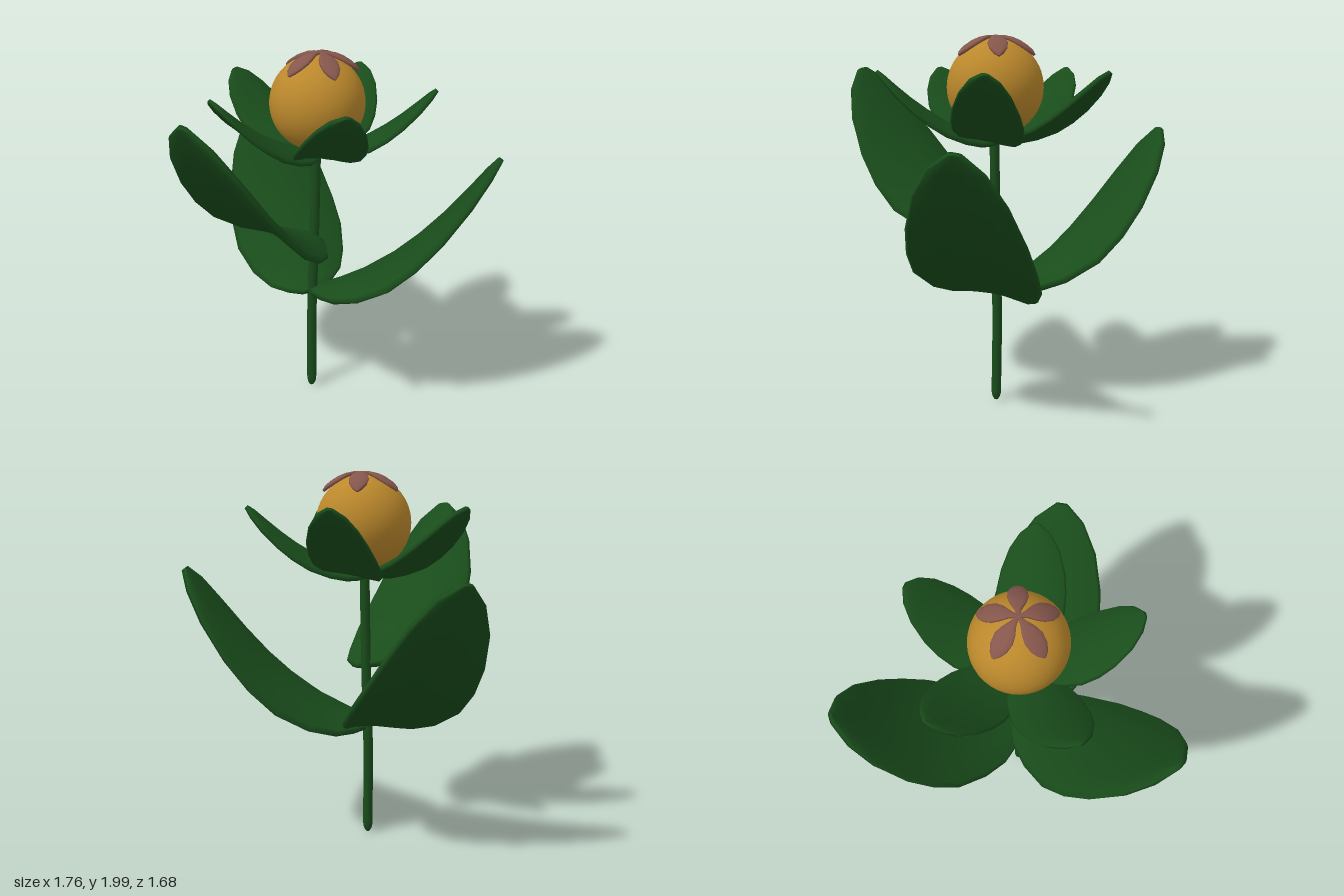
import * as THREE from 'three';

const rad = THREE.MathUtils.degToRad;
const green = new THREE.MeshStandardMaterial({ color: 0x194c1b });
const gold = new THREE.MeshStandardMaterial({ color: 0xbb882c });
const brown = new THREE.MeshStandardMaterial({ color: 0x85564c });

// Outlines: [fraction of length, fraction of the largest half width]
const LEAF = [
  [0, 0], [0, 0.2], [0.06, 0.42], [0.15, 0.66], [0.29, 0.86], [0.46, 1],
  [0.6, 0.99], [0.73, 0.9], [0.86, 0.7], [0.95, 0.42], [1, 0.1], [1, 0],
];
const PETAL = [
  [0, 0], [0, 0.1], [0.2, 0.35], [0.4, 0.78], [0.58, 1],
  [0.78, 0.9], [0.92, 0.55], [1, 0.12], [1, 0],
];
// Flattened section with a rounded rim: [across, thickness]
const SECTION = [
  [1, 0], [0.94, 0.8], [0.5, 1], [0, 1], [-0.5, 1], [-0.94, 0.8],
  [-1, 0], [-0.94, -0.8], [-0.5, -1], [0, -1], [0.5, -1], [0.94, -0.8],
];

// Thick blade running outward at a heading; rise(r, w) gives its height
function blade(name, material, outline, { base, heading, length, halfWidth, thick, bulge = 0, rise }) {
  const c = Math.cos(rad(heading)), s = Math.sin(rad(heading));
  const pos = [], index = [], n = SECTION.length;
  outline.forEach(([f, wf], i) => {
    const r0 = f * length;
    const t = wf === 0 ? 0 : thick * Math.min(1, 0.5 + wf);
    const shift = bulge * Math.sin(Math.PI * f);
    SECTION.forEach(([across, up], k) => {
      const w = across * wf * halfWidth + shift;
      const slope = (rise(r0 + 0.001, w) - rise(r0 - 0.001, w)) / 0.002;
      const len = Math.hypot(1, slope);
      const r = r0 - (slope / len) * up * t;
      const y = rise(r0, w) + (up * t) / len;
      pos.push(base[0] + c * r - s * w, base[1] + y, base[2] + s * r + c * w);
      if (i < outline.length - 1) {
        const a = i * n + k, d = i * n + ((k + 1) % n);
        index.push(a, a + n, d, d, a + n, d + n);
      }
    });
  });
  const g = new THREE.BufferGeometry();
  g.setAttribute('position', new THREE.Float32BufferAttribute(pos, 3));
  g.setIndex(index);
  g.computeVertexNormals();
  const mesh = new THREE.Mesh(g, material);
  mesh.name = name;
  return mesh;
}

export function createModel() {
  const model = new THREE.Group();
  model.name = 'floweringPlant';

  // Stem with a pointed foot
  const stem = new THREE.Group();
  stem.name = 'stem';
  const path = new THREE.CatmullRomCurve3([
    [0.055, 0.06], [0.05, 0.5], [0.063, 0.95], [0.07, 1.45],
  ].map(([x, y]) => new THREE.Vector3(x, y, -0.13)));
  stem.add(new THREE.Mesh(new THREE.TubeGeometry(path, 16, 0.027, 10), green));
  const foot = new THREE.Mesh(new THREE.SphereGeometry(0.027, 10, 8), green);
  foot.scale.y = 2.2;
  foot.position.set(0.055, 0.06, -0.13);
  stem.add(foot);
  model.add(stem);

  // Three large leaves with drooping edges and a slight roll, the front one higher
  [['frontLeaf', 77.5, 0.955], ['rightLeaf', 200, 0.63], ['leftLeaf', 321, 0.63]].forEach(([name, heading, y]) => {
    model.add(blade(name, green, LEAF, {
      base: [0.06, y, -0.13], heading, length: 0.98, halfWidth: 0.328, thick: 0.024, bulge: 0.012,
      rise: (r, w) => 0.24 * r + 0.64 * r * r + 0.14 * w - 0.85 * w * w,
    }));
  });

  // Five sepals cupping the fruit, shaped the same way
  const sepals = new THREE.Group();
  sepals.name = 'sepals';
  for (let i = 0; i < 5; i++) {
    sepals.add(blade('sepal', green, LEAF, {
      base: [0.07, 1.44, -0.135], heading: 27 + i * 72, length: 0.62, halfWidth: 0.184, thick: 0.017, bulge: 0.012,
      rise: (r, w) => 0.2 * r + 0.64 * r * r + 0.13 * w - 1.3 * w * w,
    }));
  }
  model.add(sepals);

  // Round fruit
  const fruit = new THREE.Mesh(new THREE.SphereGeometry(0.254, 40, 28), gold);
  fruit.name = 'fruit';
  fruit.position.set(0.07, 1.725, -0.135);
  model.add(fruit);

  // Crown of five small petals draped over the fruit
  const crown = new THREE.Group();
  crown.name = 'crown';
  for (let i = 0; i < 5; i++) {
    crown.add(blade('crownPetal', brown, PETAL, {
      base: [0.075, 1.725, -0.145], heading: 90 + i * 72, length: 0.205, halfWidth: 0.052, thick: 0.01,
      rise: (r, w) => Math.sqrt(0.264 ** 2 - r * r - w * w),
    }));
  }
  model.add(crown);

  return model;
}
